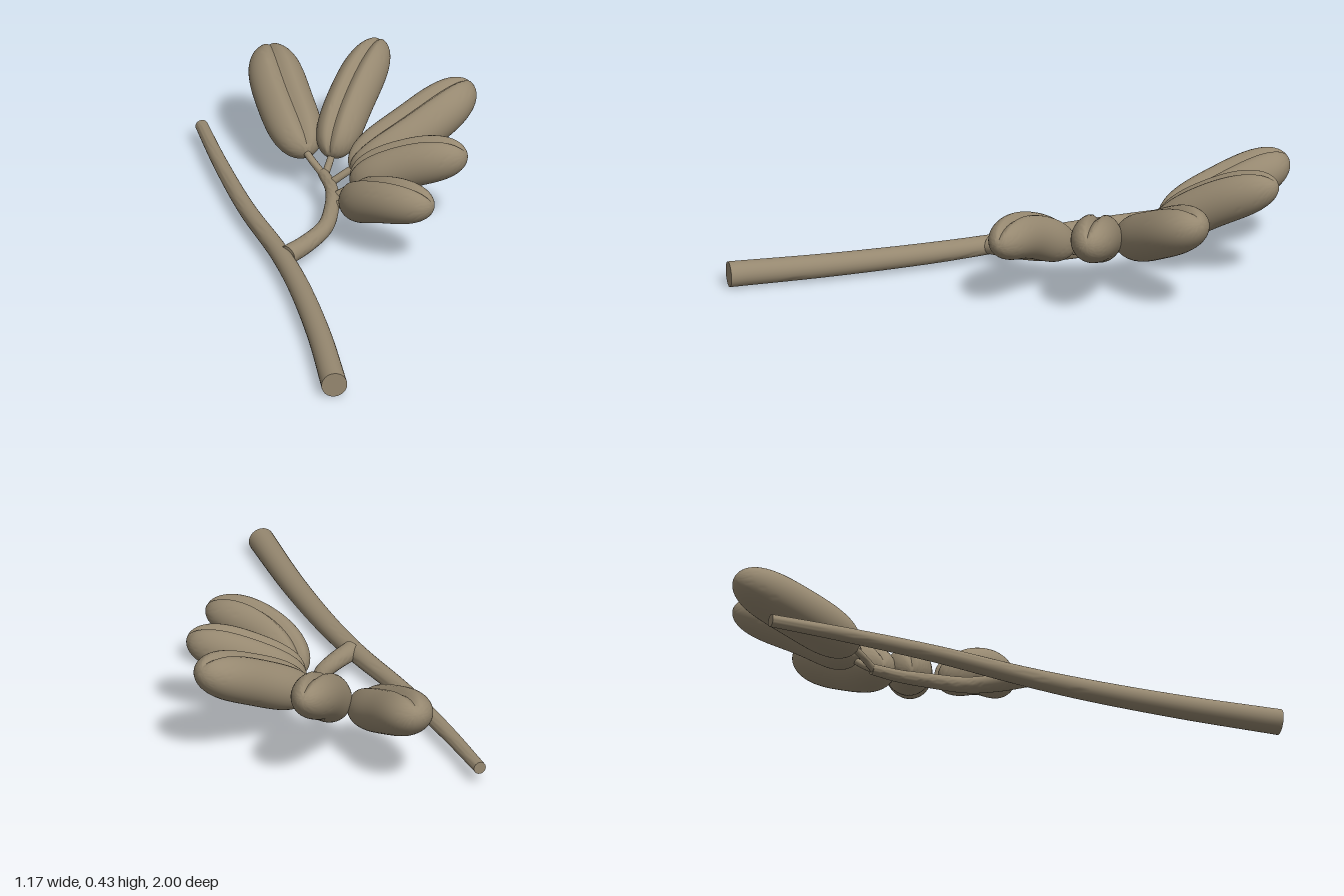
import * as THREE from 'three';
import { toCreasedNormals } from 'three/addons/utils/BufferGeometryUtils.js';

const material = new THREE.MeshStandardMaterial({ color: 0x968870 });
const UP = new THREE.Vector3(0, 1, 0);
const V = (p) => new THREE.Vector3(...p);

// Sweeps rings along a curve. rows: [t, scale]; section(angle): [sideways, upward] offset.
function sweep(curve, rows, section, sides) {
  const pos = [], index = [];
  for (const [t, k] of rows) {
    const c = curve.getPoint(t), tan = curve.getTangent(t);
    const side = tan.clone().cross(UP).normalize();
    const up = side.clone().cross(tan);
    for (let j = 0; j < sides; j++) {
      const [a, b] = section((j / sides) * Math.PI * 2);
      const p = c.clone().addScaledVector(side, a * k).addScaledVector(up, b * k);
      pos.push(p.x, p.y, p.z);
    }
  }
  for (let i = 0; i < rows.length - 1; i++) {
    for (let j = 0; j < sides; j++) {
      const n = (j + 1) % sides;
      const a = i * sides + j, b = i * sides + n, c = a + sides, d = b + sides;
      if (rows[i + 1][1] > 0) index.push(a, c, d);
      if (rows[i][1] > 0) index.push(a, d, b);
    }
  }
  const g = new THREE.BufferGeometry();
  g.setAttribute('position', new THREE.Float32BufferAttribute(pos, 3));
  g.setIndex(index);
  return toCreasedNormals(g, 0.9);
}

// Tapered round twig with flat ends
function twig(name, points, r0, r1, steps = 40, sides = 24) {
  const curve = new THREE.CatmullRomCurve3(points.map(V));
  const rows = [[0, 0]];
  for (let i = 0; i <= steps; i++) rows.push([i / steps, r0 + (r1 - r0) * (i / steps)]);
  rows.push([1, 0]);
  const mesh = new THREE.Mesh(sweep(curve, rows, (a) => [Math.cos(a), Math.sin(a)], sides), material);
  mesh.name = name;
  return mesh;
}

// Plump curved pod with rounded ends and a groove along its upper side
function pod(base, bend, tip, width, height) {
  const curve = new THREE.QuadraticBezierCurve3(V(base), V(bend), V(tip));
  const rows = [];
  const steps = 40;
  for (let i = 0; i <= steps; i++) {
    const t = (1 - Math.cos((Math.PI * i) / steps)) / 2;
    const end = i === 0 || i === steps;
    rows.push([t, end ? 0 : Math.sqrt(1 - Math.pow(Math.abs(2 * t - 1), 3.5))]);
  }
  const section = (a) => {
    const d = (a - Math.PI / 2) / 0.22;
    const f = 1 - 0.27 * Math.exp(-d * d);
    return [width * f * Math.cos(a), height * f * Math.sin(a)];
  };
  const mesh = new THREE.Mesh(sweep(curve, rows, section, 48), material);
  mesh.name = 'pod';
  return mesh;
}

export function createModel() {
  const model = new THREE.Group();
  model.name = 'podBranch';

  // Long main branch, thinning towards the back
  model.add(twig('mainBranch', [
    [-0.541, 0.05, 0.988], [-0.44, 0.053, 0.62], [-0.36, 0.057, 0.25], [-0.325, 0.06, 0],
    [-0.3, 0.062, -0.35], [-0.25, 0.064, -0.7], [-0.195, 0.065, -0.997],
  ], 0.047, 0.023));

  // Curved side stem
  model.add(twig('sideStem', [
    [-0.312, 0.067, 0.04], [-0.21, 0.072, -0.01], [-0.11, 0.082, -0.08],
    [-0.03, 0.1, -0.2], [0.01, 0.107, -0.3], [0.025, 0.112, -0.405],
  ], 0.036, 0.02));

  // Pods: stalk start on the stem, base, bend, tip, half width, half height
  const pods = [
    [[0.022, 0.11, -0.395], [0.0, 0.155, -0.49], [0.005, 0.25, -0.74], [0.06, 0.34, -0.98], 0.103, 0.09],
    [[0.024, 0.11, -0.39], [0.07, 0.15, -0.44], [0.17, 0.3, -0.55], [0.405, 0.4, -0.75], 0.085, 0.09],
    [[0.015, 0.108, -0.33], [0.09, 0.16, -0.31], [0.32, 0.27, -0.28], [0.582, 0.39, -0.345], 0.104, 0.094],
    [[-0.01, 0.104, -0.24], [0.055, 0.15, -0.21], [0.2, 0.27, -0.14], [0.4, 0.315, 0.03], 0.085, 0.09],
    [[-0.03, 0.1, -0.2], [0.01, 0.125, -0.12], [-0.01, 0.27, 0.06], [0.165, 0.27, 0.265], 0.083, 0.086],
  ];
  for (const [start, base, bend, tip, width, height] of pods) {
    // Stalk runs a little way into its pod
    const end = V(base).lerp(V(bend), 0.25).toArray();
    model.add(twig('stalk', [start, base, end], 0.014, 0.012, 8, 12));
    model.add(pod(base, bend, tip, width, height));
  }
  return model;
}
